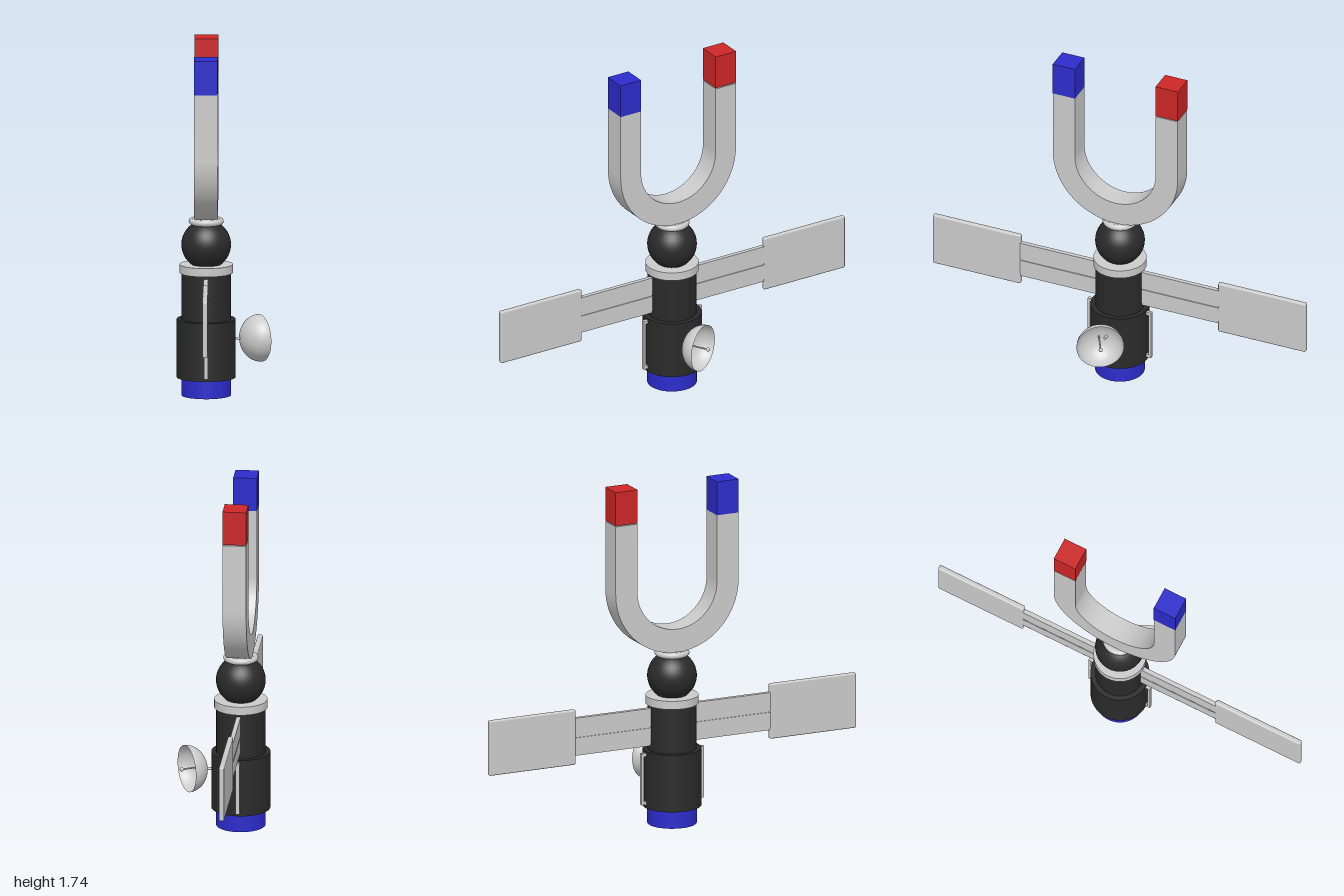
import * as THREE from 'three';
import { RoundedBoxGeometry } from 'three/addons/geometries/RoundedBoxGeometry.js';

const AXIS_X = -0.09;
const mat = (color, extra = {}) => new THREE.MeshStandardMaterial({ color, ...extra });
const grey = mat(0xcccccc);
const greyThin = mat(0xcccccc, { side: THREE.DoubleSide });
const black = mat(0x2a2a2a);
const blue = mat(0x2c2ccc);
const red = mat(0xcc2626);

function add(parent, name, geometry, material, x = 0, y = 0, z = 0) {
  const mesh = new THREE.Mesh(geometry, material);
  mesh.name = name;
  mesh.position.set(x, y, z);
  parent.add(mesh);
  return mesh;
}

// Upright cylinder between two heights
function drum(parent, name, r, y0, y1, material) {
  return add(parent, name, new THREE.CylinderGeometry(r, r, y1 - y0, 48), material, 0, (y0 + y1) / 2, 0);
}

// Box given by its y and z ranges, centred on x
function slab(parent, name, thickness, y0, y1, z0, z1, material) {
  return add(parent, name, new THREE.BoxGeometry(thickness, y1 - y0, z1 - z0), material,
    0, (y0 + y1) / 2, (z0 + z1) / 2);
}

function createMagnet() {
  const magnet = new THREE.Group();
  magnet.name = 'magnet';
  const outer = 0.335, inner = 0.217, bend = 1.215, top = 1.56, width = 0.116;

  // U-shaped body drawn in the z-y plane
  const u = new THREE.Shape();
  u.moveTo(outer, top);
  u.lineTo(inner, top);
  u.lineTo(inner, bend);
  u.absarc(0, bend, inner, 0, -Math.PI, true);
  u.lineTo(-inner, top);
  u.lineTo(-outer, top);
  u.lineTo(-outer, bend);
  u.absarc(0, bend, outer, Math.PI, Math.PI * 2, false);
  const geometry = new THREE.ExtrudeGeometry(u, { depth: width, bevelEnabled: false, curveSegments: 40 });
  geometry.translate(0, 0, -width / 2).rotateY(-Math.PI / 2);
  add(magnet, 'magnetArch', geometry, grey);

  // Coloured pole tips
  const mid = (outer + inner) / 2;
  const tip = () => new THREE.BoxGeometry(width + 0.001, 0.17, outer - inner + 0.001);
  add(magnet, 'bluePole', tip(), blue, 0, 1.637, mid);
  add(magnet, 'redPole', tip(), red, 0, 1.65, -mid);
  return magnet;
}

function createWing(side) {
  const wing = new THREE.Group();
  wing.name = side > 0 ? 'frontWing' : 'backWing';
  // Arm: a thin core with raised strips that leave narrow grooves
  slab(wing, 'armCore', 0.014, 0.405, 0.595, 0.08, 0.54, grey);
  slab(wing, 'armUpperStrip', 0.022, 0.505, 0.597, 0.08, 0.54, grey);
  slab(wing, 'armLowerStrip', 0.022, 0.418, 0.497, 0.08, 0.54, grey);
  // Wide outer panel with softened edges
  add(wing, 'panel', new RoundedBoxGeometry(0.026, 0.28, 0.47, 3, 0.008), grey, 0, 0.5, 0.765);

  // Grab handle on the lower hull
  slab(wing, 'handleBar', 0.018, 0.108, 0.37, 0.156, 0.17, grey);
  for (const y of [0.108, 0.354]) slab(wing, 'handleMount', 0.018, y, y + 0.016, 0.135, 0.16, grey);

  wing.rotation.y = side > 0 ? 0 : Math.PI;
  return wing;
}

function createDish() {
  const dish = new THREE.Group();
  dish.name = 'dish';
  const depth = 0.1, radius = 0.117;

  // Bowl, opening along local +y with its apex at the origin
  const profile = [];
  for (let i = 0; i <= 16; i++) {
    const a = (i / 16) * Math.PI / 2;
    profile.push(new THREE.Vector2(radius * Math.sin(a), depth * (1 - Math.cos(a))));
  }
  add(dish, 'bowl', new THREE.LatheGeometry(profile, 48), greyThin);

  // Feed antenna
  add(dish, 'feedRod', new THREE.CylinderGeometry(0.004, 0.004, 0.125, 12), grey, 0, 0.0625, 0);
  add(dish, 'feedTip', new THREE.SphereGeometry(0.01, 16, 12), grey, 0, 0.127, 0);

  const direction = new THREE.Vector3(0.88, 0, -0.47).normalize();
  dish.quaternion.setFromUnitVectors(new THREE.Vector3(0, 1, 0), direction);
  dish.position.set(0.087, 0.283, 0.035);
  return dish;
}

export function createModel() {
  const model = new THREE.Group();
  model.name = 'magnetSatellite';

  const core = new THREE.Group();
  core.name = 'core';
  core.position.x = AXIS_X;
  model.add(core);

  // Stacked hull
  drum(core, 'base', 0.122, 0, 0.09, blue);
  drum(core, 'lowerHull', 0.145, 0.09, 0.38, black);
  drum(core, 'upperHull', 0.121, 0.38, 0.612, black);
  drum(core, 'collar', 0.131, 0.61, 0.652, grey);

  // Ball joint and the rounded seat of the magnet
  add(core, 'ballJoint', new THREE.SphereGeometry(0.122, 40, 28), black, 0, 0.75, 0);
  drum(core, 'seatDisc', 0.07, 0.85, 0.882, grey);
  add(core, 'seatRim', new THREE.TorusGeometry(0.07, 0.016, 14, 40).rotateX(Math.PI / 2), grey, 0, 0.866, 0);

  core.add(createMagnet());
  for (const side of [1, -1]) core.add(createWing(side));

  // Dish and its mounting stub
  const stub = new THREE.CylinderGeometry(0.007, 0.007, 0.06, 16).rotateZ(Math.PI / 2);
  add(model, 'dishStub', stub, grey, 0.065, 0.283, 0);
  model.add(createDish());

  return model;
}
